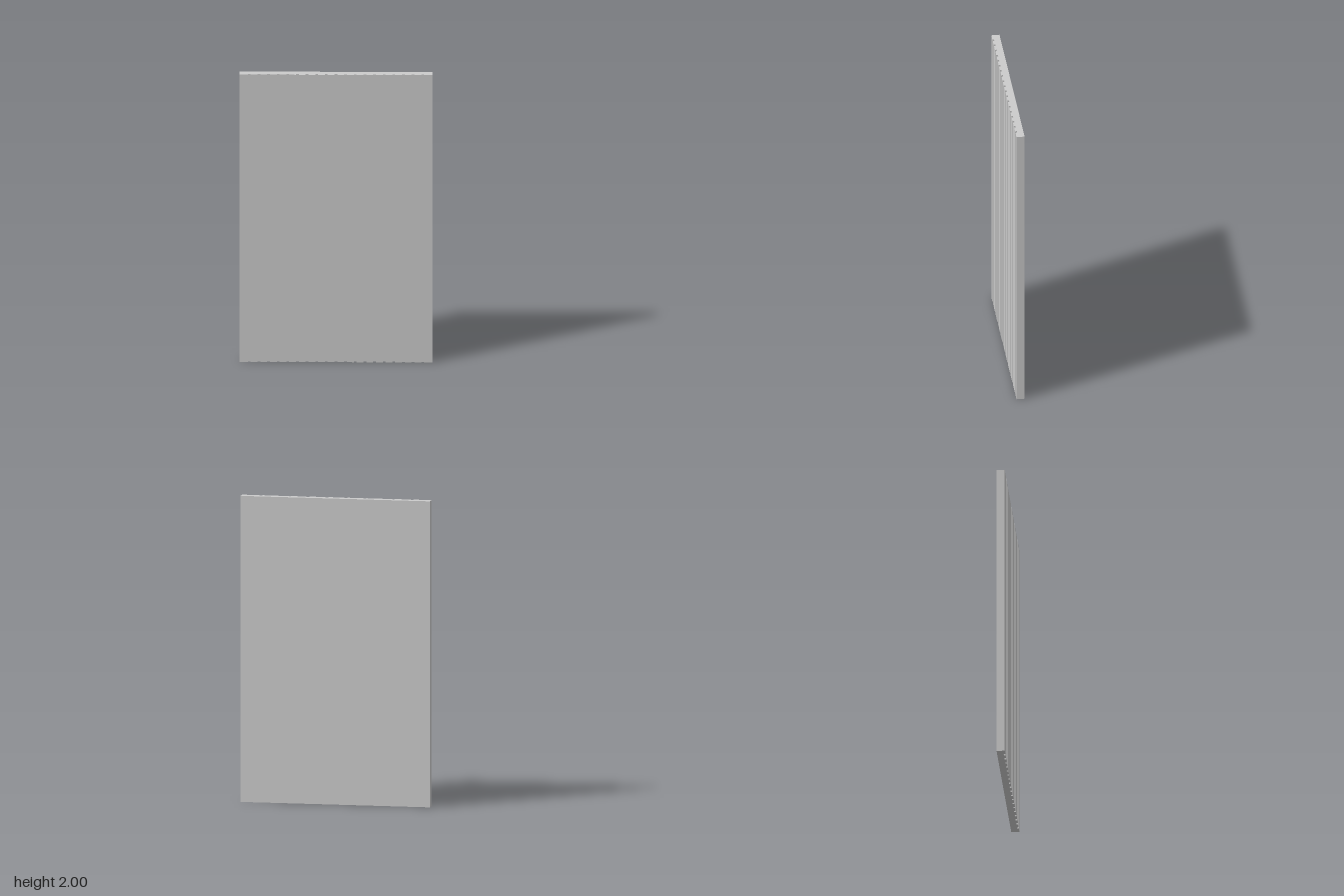
import * as THREE from 'three';

export function createModel() {
  const group = new THREE.Group();
  group.name = 'groovedPanel';

  const height = 2, halfWidth = 0.622, halfDepth = 0.0265;
  const grooves = 19, pitch = 0.0622, grooveWidth = 0.018, grooveDepth = 0.011;

  // Plan outline: flat back, evenly spaced square grooves along the front.
  // Shape y becomes -z once the extrusion is stood upright.
  const outline = new THREE.Shape();
  outline.moveTo(halfWidth, halfDepth);
  outline.lineTo(-halfWidth, halfDepth);
  outline.lineTo(-halfWidth, -halfDepth);
  for (let i = 0; i < grooves; i++) {
    const x = (i - (grooves - 1) / 2) * pitch;
    const x0 = x - grooveWidth / 2, x1 = x + grooveWidth / 2;
    outline.lineTo(x0, -halfDepth);
    outline.lineTo(x0, -halfDepth + grooveDepth);
    outline.lineTo(x1, -halfDepth + grooveDepth);
    outline.lineTo(x1, -halfDepth);
  }
  outline.lineTo(halfWidth, -halfDepth);
  outline.closePath();

  // Extrude to full height and stand it on the ground
  const geometry = new THREE.ExtrudeGeometry(outline, { depth: height, bevelEnabled: false });
  geometry.rotateX(-Math.PI / 2);

  const panel = new THREE.Mesh(geometry, new THREE.MeshStandardMaterial({ color: 0xcccccc }));
  panel.name = 'slattedPanel';
  group.add(panel);
  return group;
}
